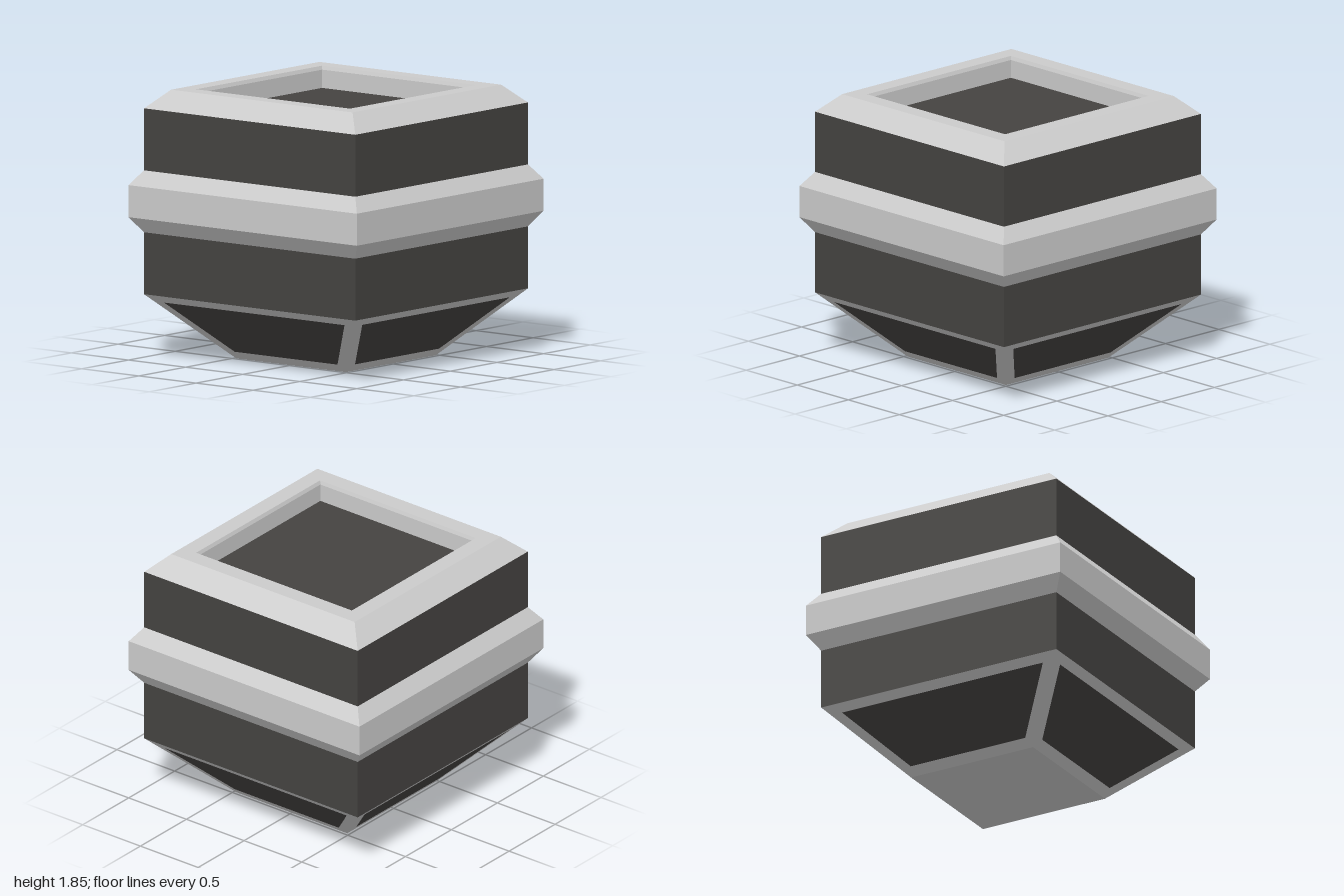
import * as THREE from 'three';

const grey = new THREE.MeshStandardMaterial({ color: 0xcccccc, flatShading: true });
const dark = new THREE.MeshStandardMaterial({ color: 0x454341, flatShading: true });

// Square ring swept from a profile of [half width, height] points
function squareRing(name, profile, material) {
  const points = profile.map(([w, y]) => new THREE.Vector2(w * Math.SQRT2, y));
  const geometry = new THREE.LatheGeometry(points, 4, Math.PI / 4).toNonIndexed();
  geometry.computeVertexNormals();
  const mesh = new THREE.Mesh(geometry, material);
  mesh.name = name;
  return mesh;
}

// Horizontal square, facing up or down
function squarePlate(name, half, y, material, down = false) {
  const geometry = new THREE.PlaneGeometry(half * 2, half * 2);
  geometry.rotateX(down ? Math.PI / 2 : -Math.PI / 2);
  const mesh = new THREE.Mesh(geometry, material);
  mesh.name = name;
  mesh.position.y = y;
  return mesh;
}

export function createModel() {
  const group = new THREE.Group();
  group.name = 'squarePlanter';

  const baseHalf = 0.48, wallHalf = 0.925, taperTop = 0.45;

  // Upright walls, middle belt and bevelled rim
  group.add(squareRing('lowerWall', [[wallHalf, taperTop], [wallHalf, 0.875]], dark));
  group.add(squareRing('belt', [[wallHalf, 0.875], [1, 0.98], [1, 1.2], [wallHalf, 1.3]], grey));
  group.add(squareRing('upperWall', [[wallHalf, 1.3], [wallHalf, 1.725]], dark));
  group.add(squareRing('rim', [
    [wallHalf, 1.725], [0.795, 1.85], [0.675, 1.85], [0.665, 1.825], [0.665, 1.7],
  ], grey));
  group.add(squarePlate('soil', 0.665, 1.7, dark));
  group.add(squarePlate('underside', baseHalf, 0, grey, true));

  // Tapered foot: a frame around a flush panel on each side
  const run = wallHalf - baseHalf;
  const slant = Math.hypot(run, taperTop) / taperTop;
  const trapezoid = (bottomHalf, y0, topHalf, y1) => [
    [-bottomHalf, y0], [bottomHalf, y0], [topHalf, y1], [-topHalf, y1],
  ].map(([x, y]) => new THREE.Vector2(x, y * slant));

  const panelOutline = trapezoid(0.45, 0.055, 0.79, 0.4);
  const frameShape = new THREE.Shape(trapezoid(baseHalf, 0, wallHalf, taperTop));
  frameShape.holes.push(new THREE.Path(panelOutline));

  const tilt = (shape) => new THREE.ShapeGeometry(shape)
    .rotateX(Math.atan2(run, taperTop))
    .translate(0, 0, baseHalf);
  const frameGeometry = tilt(frameShape);
  const panelGeometry = tilt(new THREE.Shape(panelOutline));

  ['front', 'left', 'back', 'right'].forEach((sideName, i) => {
    const side = new THREE.Group();
    side.name = sideName + 'Foot';
    const frame = new THREE.Mesh(frameGeometry, grey);
    frame.name = sideName + 'FootFrame';
    const panel = new THREE.Mesh(panelGeometry, dark);
    panel.name = sideName + 'FootPanel';
    side.add(frame, panel);
    side.rotation.y = i * Math.PI / 2;
    group.add(side);
  });

  return group;
}
